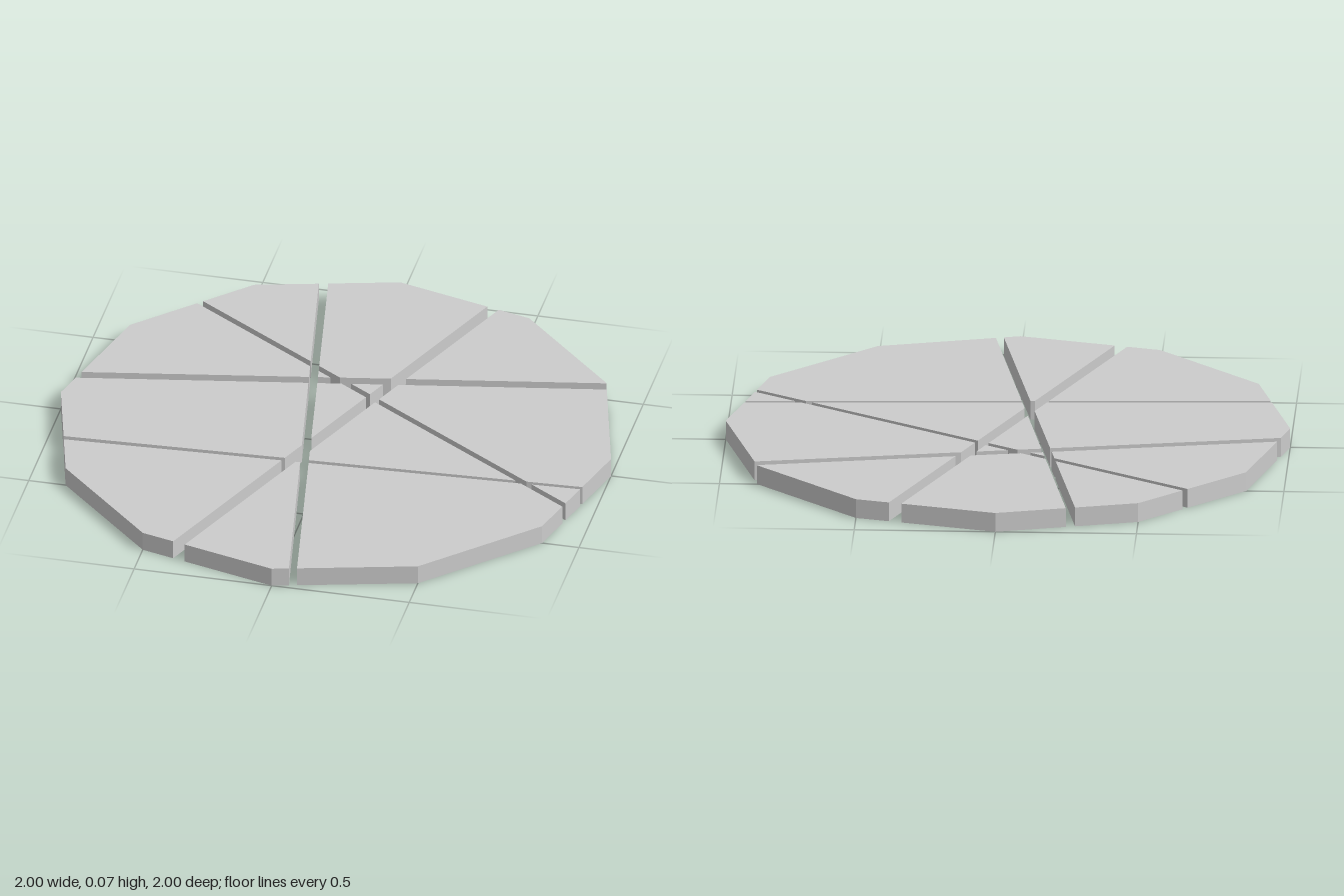
import * as THREE from 'three';

const HEIGHT = 0.07;

// Straight grooves seen from above: two edges each, as [x, z] start and end
const CUTS = [
  [[-0.278, -0.92, 0.059, 0.984], [-0.246, -0.93, 0.086, 0.973]],
  [[0.337, -0.909, -0.38, 0.893], [0.38, -0.893, -0.337, 0.909]],
  [[-0.957, -0.15, 0.866, -0.497], [-0.973, -0.107, 0.88, -0.457]],
  [[-0.652, -0.717, 0.914, 0.332], [-0.668, -0.698, 0.904, 0.353]],
  [[-0.92, 0.289, 0.941, 0.209], [-0.914, 0.31, 0.936, 0.225]],
];

// Signed side of point p relative to a line
const side = ([x1, z1, x2, z2], p) => (x2 - x1) * (p.y - z1) - (z2 - z1) * (p.x - x1);

// Keeps the part of a convex polygon on one side of a line
function clip(poly, line, sign) {
  const out = [];
  poly.forEach((a, i) => {
    const b = poly[(i + 1) % poly.length];
    const da = sign * side(line, a);
    const db = sign * side(line, b);
    if (da >= 0) out.push(a);
    if (da * db < 0) out.push(a.clone().lerp(b, da / (da - db)));
  });
  return out;
}

const isSolid = (poly) => poly.length > 2 && Math.abs(THREE.ShapeUtils.area(poly)) > 1e-4;

export function createModel() {
  const group = new THREE.Group();
  group.name = 'crackedDisc';
  const material = new THREE.MeshStandardMaterial({ color: 0xcccccc, flatShading: true });

  // Twelve-sided slab outline, x and z
  let pieces = [Array.from({ length: 12 }, (_, i) =>
    new THREE.Vector2(Math.cos(i * Math.PI / 6), Math.sin(i * Math.PI / 6)))];

  // Split every piece along both edges of each groove
  for (const [first, second] of CUTS) {
    const middle = new THREE.Vector2((second[0] + second[2]) / 2, (second[1] + second[3]) / 2);
    const inward = Math.sign(side(first, middle));
    pieces = pieces
      .flatMap((p) => [clip(p, first, -inward), clip(p, second, inward)])
      .filter(isSolid);
  }

  // Raise each piece into a flat stone slab
  pieces.forEach((poly, i) => {
    const shape = new THREE.Shape(poly.map((p) => new THREE.Vector2(p.x, -p.y)));
    const geometry = new THREE.ExtrudeGeometry(shape, { depth: HEIGHT, bevelEnabled: false });
    geometry.rotateX(-Math.PI / 2);
    const mesh = new THREE.Mesh(geometry, material);
    mesh.name = `slabPiece${i + 1}`;
    group.add(mesh);
  });

  return group;
}
